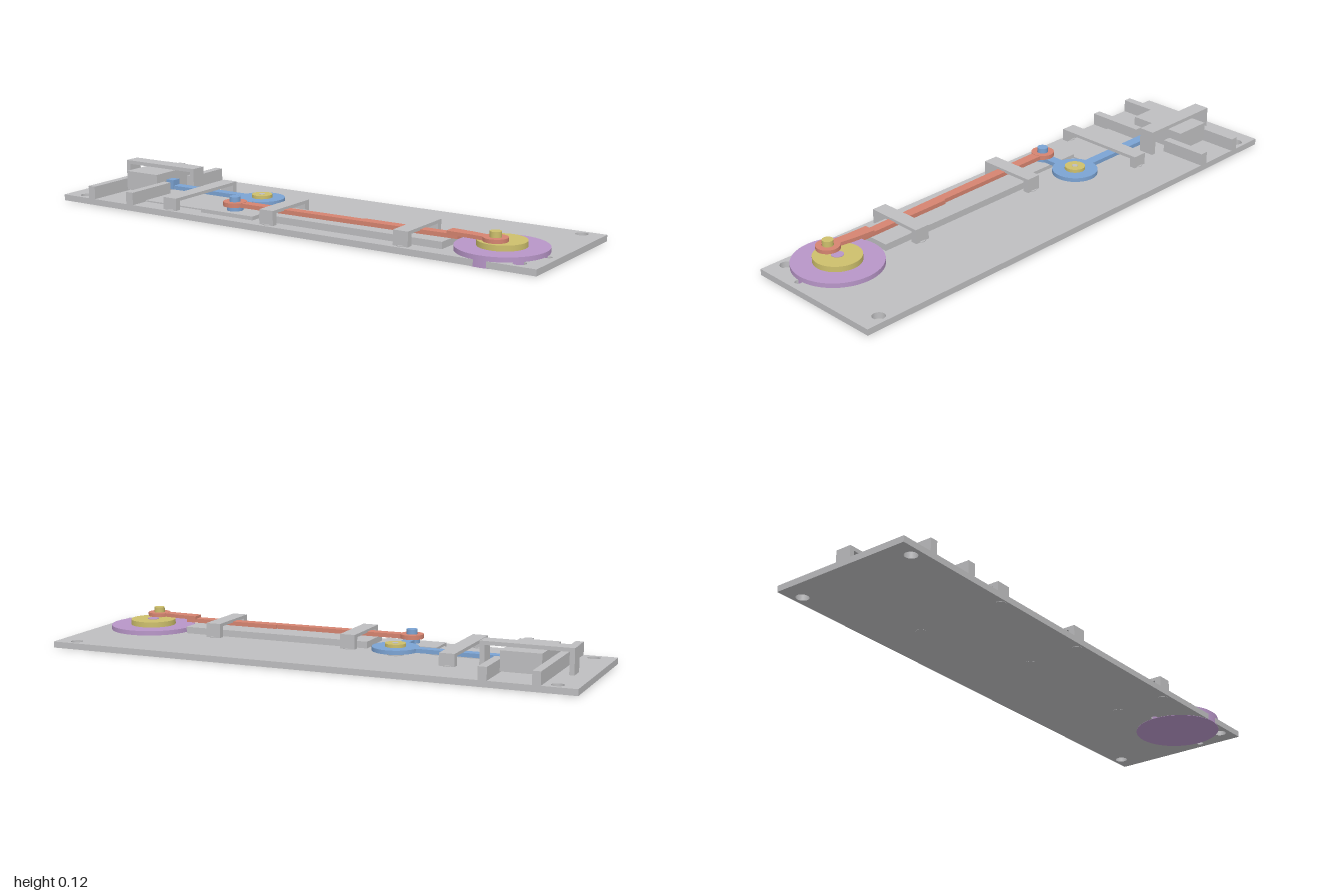
import * as THREE from 'three';

const mat = (name, color) => {
  const m = new THREE.MeshStandardMaterial({ color });
  m.name = name;
  return m;
};

export function createModel() {
  const root = new THREE.Group();
  root.name = 'crankLinkage';
  const grey = mat('grey metal', 0xbebec0);
  const blue = mat('blue lever', 0x7ba3d3);
  const red = mat('red rod', 0xd58470);
  const purple = mat('purple wheel', 0xb896c8);
  const yellow = mat('yellow hub', 0xcdbf6c);

  const add = (name, geo, m, parent = root) => {
    const mesh = new THREE.Mesh(geo, m);
    mesh.name = name;
    parent.add(mesh);
    return mesh;
  };
  // Box given by its limits on each axis
  const box = (name, m, x0, x1, y0, y1, z0, z1, parent) =>
    add(name, new THREE.BoxGeometry(x1 - x0, y1 - y0, z1 - z0), m, parent)
      .position.set((x0 + x1) / 2, (y0 + y1) / 2, (z0 + z1) / 2);
  // Upright cylinder
  const disc = (name, m, x, z, r, y0, y1, parent) =>
    add(name, new THREE.CylinderGeometry(r, r, y1 - y0, 48), m, parent)
      .position.set(x, (y0 + y1) / 2, z);
  // Flat outline in x and z, extruded between two heights
  const slab = (name, m, shape, y0, y1, parent) => {
    const geo = new THREE.ExtrudeGeometry(shape, { depth: y1 - y0, bevelEnabled: false, curveSegments: 24 });
    geo.rotateX(Math.PI / 2).translate(0, y1, 0);
    return add(name, geo, m, parent);
  };
  const outline = (pts) => new THREE.Shape(pts.map(([x, z]) => new THREE.Vector2(x, z)));
  const hole = (shape, x, z, r) => shape.holes.push(new THREE.Path().absarc(x, z, r, 0, Math.PI * 2, true));

  const T = 0.024; // top of the base plate
  const crank = { x: 0.797, z: 0.116 };
  const pivot = { x: -0.257, z: 0.008 };
  const pinZ = 0.176, crankPinZ = 0.165;

  // Base plate with mounting holes
  const plate = outline([[-1, -0.275], [1, -0.275], [1, 0.275], [-1, 0.275]]);
  for (const x of [-0.922, 0.922]) for (const z of [-0.238, 0.236]) hole(plate, x, z, 0.023);
  for (const x of [0.632, 0.965]) hole(plate, x, crank.z, 0.013);
  slab('basePlate', grey, plate, 0.001, T);

  // Cross rails either side of the sliding block
  box('outerRail', grey, -0.875, -0.845, T, 0.072, -0.275, 0.275);
  box('innerRailBack', grey, -0.69, -0.658, T, 0.071, -0.275, -0.09);
  box('innerRailFront', grey, -0.69, -0.658, T, 0.071, 0.052, 0.275);
  box('slidingBlock', grey, -0.84, -0.693, 0.03, 0.103, -0.142, 0.091);

  // Low pads on the plate
  box('sidePad', grey, -0.658, -0.37, T, 0.029, 0.053, 0.2);
  box('leverPad', grey, -0.373, -0.142, T, 0.038, 0.12, 0.228);
  box('rodGuide', grey, -0.122, 0.625, T, 0.049, 0.07, 0.215);

  // Bridge over the sliding block
  const bridge = new THREE.Group();
  bridge.name = 'blockBridge';
  root.add(bridge);
  box('bridgeTop', grey, -0.935, -0.6, 0.104, 0.118, -0.08, -0.018, bridge);
  box('bridgeOuterPost', grey, -0.935, -0.917, T, 0.104, -0.08, -0.018, bridge);
  box('bridgeInnerPost', grey, -0.618, -0.6, T, 0.104, -0.08, -0.018, bridge);

  // Straps holding down the rods, with pegs through the plate
  const straps = [[-0.06, 0.032, 0.258, 0.078], [0.49, 0.032, 0.258, 0.078], [-0.492, -0.11, 0.262, 0.07]];
  for (const [x, z0, z1, top] of straps) {
    const strap = new THREE.Group();
    strap.name = 'strap';
    root.add(strap);
    box('strapTop', grey, x - 0.029, x + 0.029, top - 0.012, top, z0, z1, strap);
    for (const [a, b] of [[z0, z0 + 0.024], [z1 - 0.024, z1]]) {
      box('strapPost', grey, x - 0.029, x + 0.029, T, top - 0.012, a, b, strap);
      disc('strapPeg', grey, x, (a + b) / 2, 0.019, 0, T + 0.003, strap);
    }
  }

  // Crank wheel, hub and pin
  disc('crankWheel', purple, crank.x, crank.z, 0.161, 0, 0.041);
  disc('crankHub', yellow, crank.x, crank.z, 0.086, 0.041, 0.061);
  disc('crankShaft', purple, crank.x, crank.z, 0.022, 0.041, 0.063);
  disc('crankPin', yellow, crank.x, crankPinZ, 0.02, 0.061, 0.1);

  // Blue bell-crank lever with its push bar and pin
  const lever = new THREE.Group();
  lever.name = 'lever';
  root.add(lever);
  disc('leverWheel', blue, pivot.x, pivot.z, 0.085, 0.04, 0.055, lever);
  box('pushBar', blue, -0.693, pivot.x - 0.06, 0.04, 0.055, -0.008, 0.03, lever);
  box('pushBarEnd', blue, -0.693, -0.66, 0.04, 0.076, -0.005, 0.032, lever);
  box('leverArm', blue, pivot.x - 0.019, pivot.x + 0.019, 0.04, 0.0545, 0.07, pinZ, lever);
  disc('leverArmEnd', blue, pivot.x, pinZ, 0.03, 0.0385, 0.054, lever);
  disc('leverPin', blue, pivot.x, pinZ, 0.02, 0.054, 0.089, lever);
  disc('pivotShaft', grey, pivot.x, pivot.z, 0.011, T, 0.068);
  disc('pivotPost', grey, pivot.x, pivot.z, 0.03, T, 0.04);
  const hub = new THREE.Shape().absarc(pivot.x, pivot.z, 0.038, 0, Math.PI * 2);
  hole(hub, pivot.x, pivot.z, 0.011);
  slab('leverHub', yellow, hub, 0.055, 0.067);

  // Red connecting rod: thin bar, raised end and an eye on each pin
  const rod = new THREE.Group();
  rod.name = 'connectingRod';
  root.add(rod);
  const eye = (x, z, y0, y1) => {
    const ring = new THREE.Shape().absarc(x, z, 0.043, 0, Math.PI * 2);
    hole(ring, x, z, 0.021);
    slab('rodEye', red, ring, y0, y1, rod);
  };
  eye(pivot.x, pinZ, 0.055, 0.071);
  eye(crank.x, crankPinZ, 0.066, 0.08);
  const bar = outline([[-0.222, 0.154], [0.28, 0.148], [0.28, 0.141], [0.66, 0.138],
    [0.66, 0.172], [0.28, 0.183], [-0.222, 0.193]]);
  slab('rodBar', red, bar, 0.054, 0.0695, rod);
  const raised = outline([[0.62, 0.132], [0.7, 0.138], [0.762, 0.148], [0.762, 0.184], [0.7, 0.18], [0.62, 0.178]]);
  slab('rodRaisedEnd', red, raised, 0.066, 0.0795, rod);

  return root;
}
